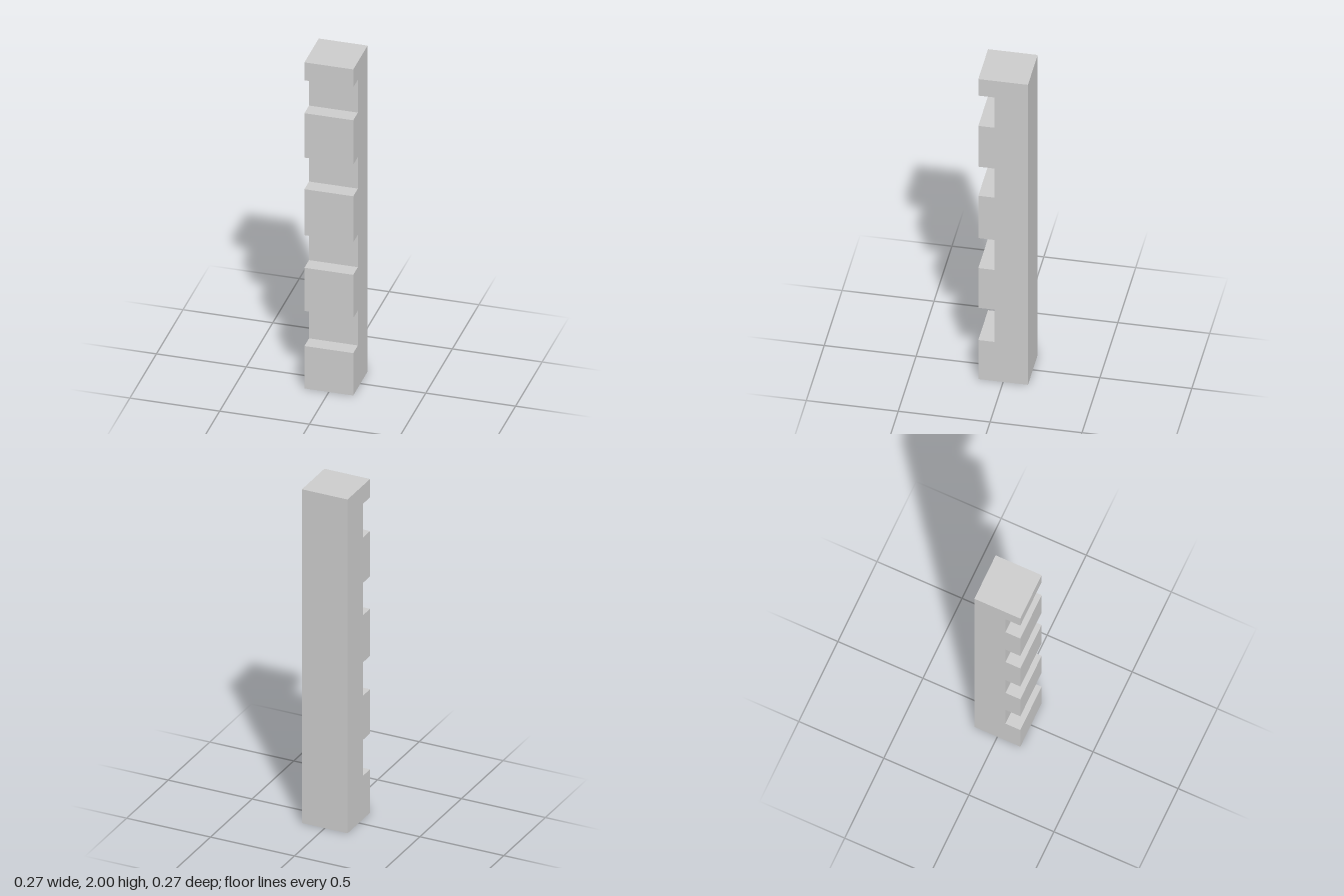
import * as THREE from 'three';

export function createModel() {
  const group = new THREE.Group();
  const width = 0.272, front = 0.135, back = -0.135, notchZ = 0.048, height = 2;
  // bottom and top height of each notch in the front face
  const notches = [[0.26, 0.475], [0.74, 0.94], [1.222, 1.416], [1.688, 1.89]];

  // side profile: shape x becomes z, shape y is height
  const profile = new THREE.Shape();
  profile.moveTo(back, 0);
  profile.lineTo(front, 0);
  for (const [low, high] of notches) {
    profile.lineTo(front, low);
    profile.lineTo(notchZ, low);
    profile.lineTo(notchZ, high);
    profile.lineTo(front, high);
  }
  profile.lineTo(front, height);
  profile.lineTo(back, height);
  profile.closePath();

  // square post with notches cut across its whole width
  const geometry = new THREE.ExtrudeGeometry(profile, { depth: width, bevelEnabled: false });
  geometry.translate(0, 0, -width / 2);
  geometry.rotateY(-Math.PI / 2);

  const post = new THREE.Mesh(
    geometry,
    new THREE.MeshStandardMaterial({ color: 0xcccccc, flatShading: true })
  );
  post.name = 'notchedPost';
  group.add(post);
  return group;
}
